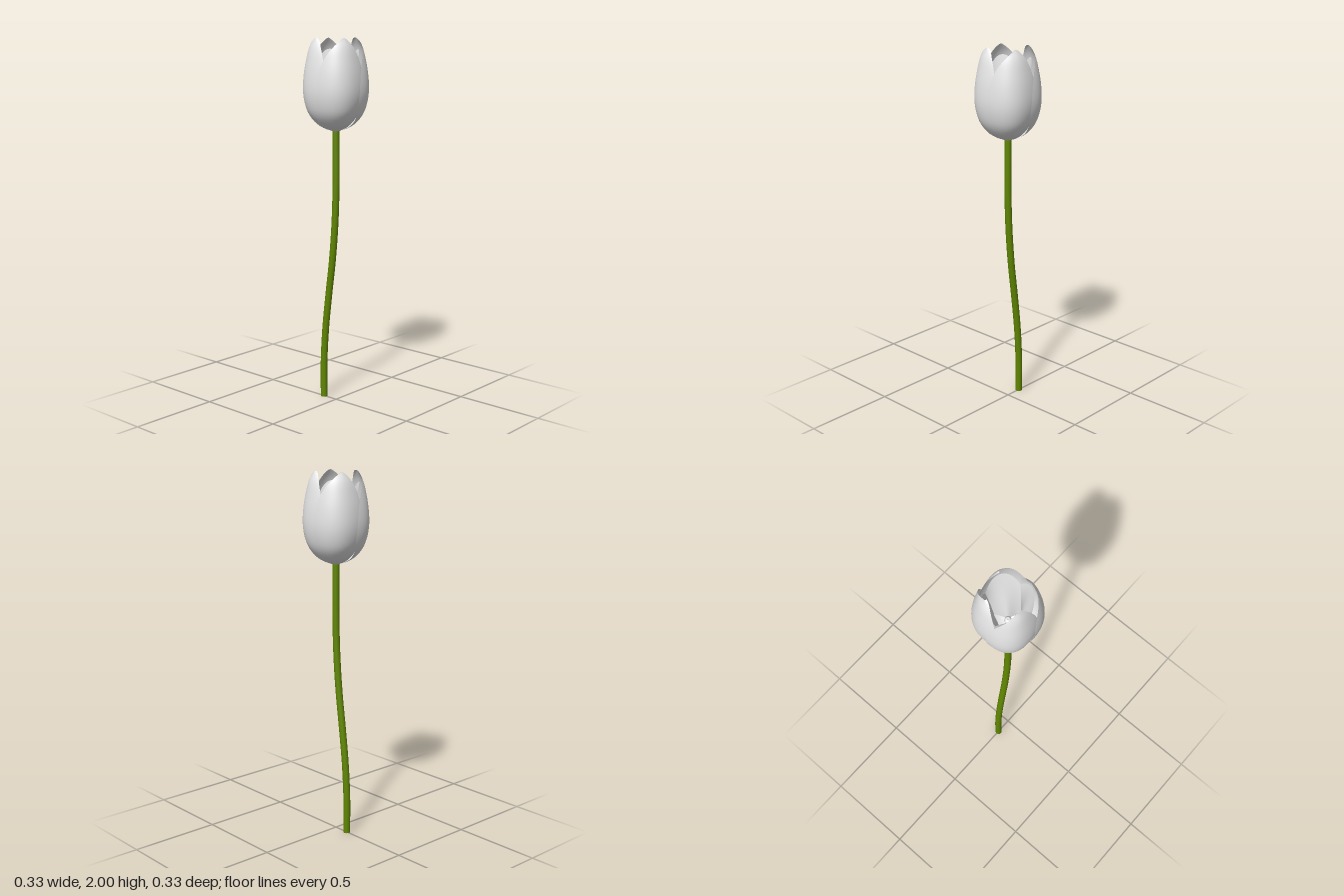
import * as THREE from 'three';

const { degToRad: rad, smoothstep, lerp } = THREE.MathUtils;

// Surface from a rule f(u, v) -> [x, y, z], with u and v in 0..1
function surface(f, nu, nv) {
  const pos = [], idx = [];
  for (let j = 0; j <= nv; j++)
    for (let i = 0; i <= nu; i++) pos.push(...f(i / nu, j / nv));
  for (let j = 0; j < nv; j++)
    for (let i = 0; i < nu; i++) {
      const a = j * (nu + 1) + i, b = a + 1, c = a + nu + 1, d = c + 1;
      idx.push(a, b, d, a, d, c);
    }
  const g = new THREE.BufferGeometry();
  g.setAttribute('position', new THREE.Float32BufferAttribute(pos, 3));
  g.setIndex(idx);
  g.computeVertexNormals();
  return g;
}

// Side profile of the bloom: radius, height
const profile = new THREE.CatmullRomCurve3([
  [0.012, 1.506], [0.06, 1.524], [0.1, 1.552], [0.135, 1.6], [0.154, 1.655],
  [0.163, 1.72], [0.16, 1.8], [0.148, 1.88], [0.131, 1.95], [0.108, 2.0],
].map(([r, y]) => new THREE.Vector3(r, y, 0)));

// Outer petal: one edge lies over its neighbour, the other tucks beneath
function petalPoint(u, v) {
  const p = profile.getPoint(1 - Math.pow(1 - v, 1.3));
  const side = 2 * u - 1;
  const s = Math.max(0, (p.y - 1.75) / 0.25);
  const over = side < 0;
  const taper = Math.pow(Math.max(0, 1 - Math.pow(s, 2.2)), over ? 0.75 : 0.6);
  const foot = over ? 0.72 + 0.28 * smoothstep(p.y, 1.51, 1.67) : 1;
  const t = (p.y - 1.51) / 0.49;
  const phi = rad(-38 + 11 * t * t + side * 53 * taper * foot);
  const tuck = over ? 0.001 * side * side : -0.01 * side * side;
  const r = p.x * (1 + 0.075 * Math.sin(2 * phi) ** 2) + tuck * Math.min(1, p.x / 0.1);
  return [r * Math.sin(phi), p.y, r * Math.cos(phi)];
}

// Inner petal: folds inward at its middle, leaving a star-shaped hollow
function innerPoint(u, v) {
  const side = 2 * u - 1;
  const phi = rad(-47 + 14 * v + side * 46);
  const star = 0.044 + 0.054 * side * side;
  const r = lerp(star, 0.122, Math.pow(v, 1.3));
  const y = 1.58 + v * (0.36 - 0.1 * side * side);
  return [r * Math.sin(phi), y, r * Math.cos(phi)];
}

export function createModel() {
  const model = new THREE.Group();
  model.name = 'tulip';
  const petalMat = new THREE.MeshStandardMaterial({ color: 0xe8e8e8, side: THREE.DoubleSide });
  petalMat.name = 'petal white';
  const stemMat = new THREE.MeshStandardMaterial({ color: 0x608600 });
  stemMat.name = 'stem green';

  const add = (name, geo, mat, parent = model) => {
    const m = new THREE.Mesh(geo, mat);
    m.name = name;
    parent.add(m);
    return m;
  };

  // Bloom: four overlapping outer petals and four folded inner ones
  const bloom = new THREE.Group();
  bloom.name = 'bloom';
  model.add(bloom);
  const outer = surface(petalPoint, 24, 32);
  const inner = surface(innerPoint, 16, 10);
  for (let i = 0; i < 4; i++) {
    add('outerPetal', outer, petalMat, bloom).rotation.y = i * Math.PI / 2;
    add('innerPetal', inner, petalMat, bloom).rotation.y = i * Math.PI / 2;
  }

  // Pistil in the hollow, with a ridged tip
  const pistil = [[0.012, 1.51], [0.014, 1.6], [0.013, 1.65], [0.019, 1.662], [0.017, 1.675], [0.012, 1.672], [0.008, 1.682], [0, 1.674]];
  add('pistil', new THREE.LatheGeometry(pistil.map(([r, y]) => new THREE.Vector2(r, y)), 16), petalMat, bloom);

  // Curved stem, closed at the foot
  const path = new THREE.CatmullRomCurve3([
    [0, -0.09], [0.2, -0.09], [0.4, -0.077], [0.6, -0.053], [0.8, -0.026],
    [1.0, -0.008], [1.2, 0], [1.52, 0],
  ].map(([y, z]) => new THREE.Vector3(0, y, z)));
  add('stem', new THREE.TubeGeometry(path, 48, 0.019, 16), stemMat);
  const foot = add('stemFoot', new THREE.CircleGeometry(0.019, 16), stemMat);
  foot.rotation.x = Math.PI / 2;
  foot.position.z = -0.09;

  return model;
}
